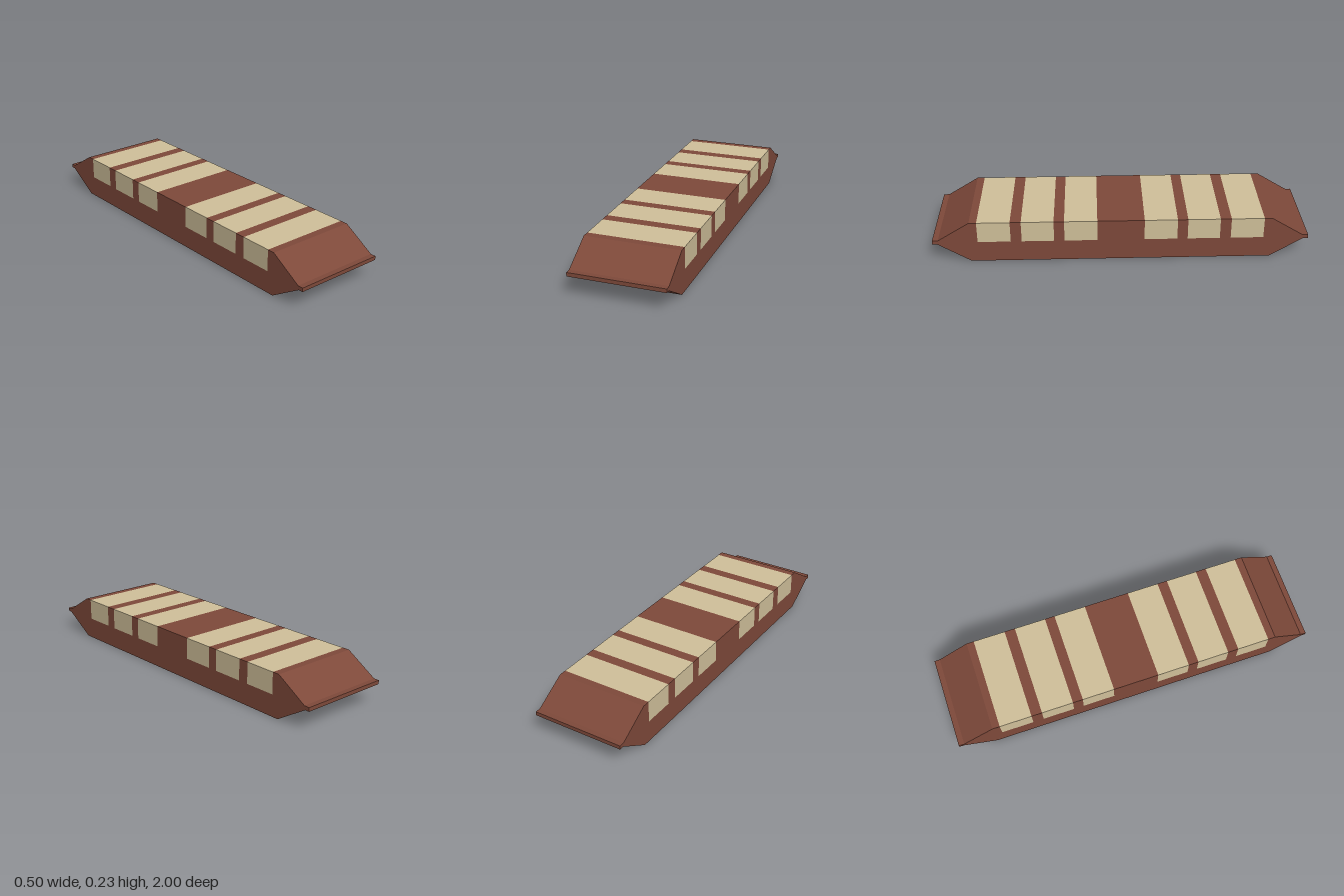
import * as THREE from 'three';

const WIDTH = 0.505;
const TOP = 0.233;
const INLAY_BASE = 0.117;
// z ranges of the inlaid blocks, from the back to the front
const half = [[0.125, 0.3], [0.355, 0.527], [0.585, 0.76]];
const inlays = [...half.map(([a, b]) => [-b, -a]).reverse(), ...half];

// Extrudes a (z, y) outline across the full width, centred on x = 0
function acrossWidth(points) {
  const shape = new THREE.Shape(points.map(([z, y]) => new THREE.Vector2(z, y)));
  const geometry = new THREE.ExtrudeGeometry(shape, { depth: WIDTH, bevelEnabled: false });
  return geometry.rotateY(-Math.PI / 2).translate(WIDTH / 2, 0, 0);
}

export function createModel() {
  const model = new THREE.Group();
  model.name = 'stripedSlab';
  const brown = new THREE.MeshStandardMaterial({ color: 0x7e493a, flatShading: true });
  const tan = new THREE.MeshStandardMaterial({ color: 0xd0c09a, flatShading: true });

  // Body: wedge-shaped ends with thin lips, top notched to seat the inlays
  const front = [[0.8, 0], [0.975, 0.107], [1, 0.107], [1, 0.128], [0.97, 0.128], [0.8, TOP]];
  const back = front.map(([z, y]) => [-z, y]).reverse();
  const notches = [...inlays].reverse().flatMap(([a, b]) =>
    [[b, TOP], [b, INLAY_BASE], [a, INLAY_BASE], [a, TOP]]);
  const body = new THREE.Mesh(acrossWidth([...front, ...notches, ...back]), brown);
  body.name = 'body';
  model.add(body);

  // Inlaid blocks, flush with the top and sides
  inlays.forEach(([a, b], i) => {
    const height = TOP - INLAY_BASE;
    const block = new THREE.Mesh(new THREE.BoxGeometry(WIDTH, height, b - a), tan);
    block.position.set(0, INLAY_BASE + height / 2, (a + b) / 2);
    block.name = `inlayBlock${i + 1}`;
    model.add(block);
  });

  return model;
}
